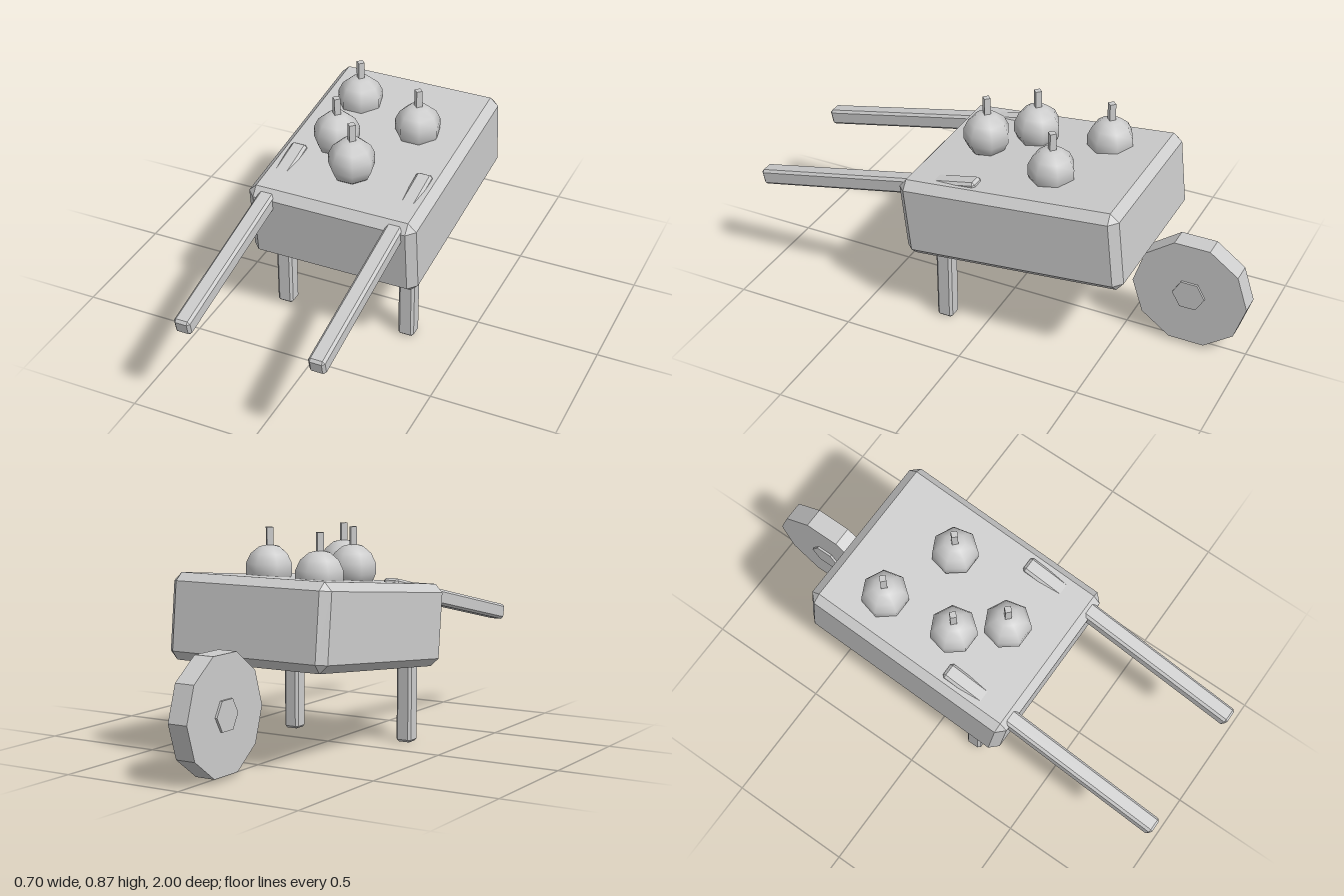
import * as THREE from 'three';
import { ConvexGeometry } from 'three/addons/geometries/ConvexGeometry.js';

// Box of w x h x d with every edge cut by a flat chamfer c
function chamferBox(w, h, d, c) {
  const points = [];
  for (const sx of [-1, 1]) for (const sy of [-1, 1]) for (const sz of [-1, 1]) {
    const x = w / 2, y = h / 2, z = d / 2;
    points.push(
      new THREE.Vector3(sx * x, sy * (y - c), sz * (z - c)),
      new THREE.Vector3(sx * (x - c), sy * y, sz * (z - c)),
      new THREE.Vector3(sx * (x - c), sy * (y - c), sz * z),
    );
  }
  return new ConvexGeometry(points);
}

export function createModel() {
  const group = new THREE.Group();
  const grey = new THREE.MeshStandardMaterial({ color: 0xcccccc });
  grey.name = 'plain grey';

  const add = (name, geometry, x, y, z, tilt = 0) => {
    const mesh = new THREE.Mesh(geometry, grey);
    mesh.name = name;
    mesh.position.set(x, y, z);
    mesh.rotation.x = tilt;
    group.add(mesh);
    return mesh;
  };

  // Filled tray, raised towards the wheel
  add('tray', chamferBox(0.7, 0.332, 0.92, 0.033), 0, 0.504, -0.13, 0.105);

  // Handles run through the tray; legs stand under it
  const handle = chamferBox(0.066, 0.065, 0.994, 0.01);
  const leg = chamferBox(0.066, 0.42, 0.066, 0.01);
  for (const [side, s] of [['left', 1], ['right', -1]]) {
    add(side + 'Handle', handle, s * 0.267, 0.537, 0.51, 0.21);
    add(side + 'Leg', leg, s * 0.267, 0.21, 0.17);
  }

  // Ten-sided wheel with a six-sided hub
  const disc = (r, width, sides) =>
    new THREE.CylinderGeometry(r, r, width, sides).rotateZ(Math.PI / 2).toNonIndexed();
  const wheel = disc(0.234, 0.082, 10);
  const hub = disc(0.066, 0.1, 6);
  wheel.computeVertexNormals();
  hub.computeVertexNormals();
  add('wheel', wheel, 0, 0.238, -0.765);
  add('hub', hub, 0, 0.238, -0.765);

  // Round fruit with square stems
  const ball = new THREE.SphereGeometry(0.095, 7, 7, -Math.PI / 2);
  const stem = new THREE.CylinderGeometry(0.0175, 0.0175, 0.1, 4).toNonIndexed();
  stem.computeVertexNormals();
  [[-0.17, -0.332], [0.131, -0.218], [-0.136, -0.033], [0, 0.122]].forEach(([x, z], i) => {
    add('fruit' + (i + 1), ball, x, 0.71, z);
    add('stem' + (i + 1), stem, x, 0.821, z);
  });

  return group;
}
